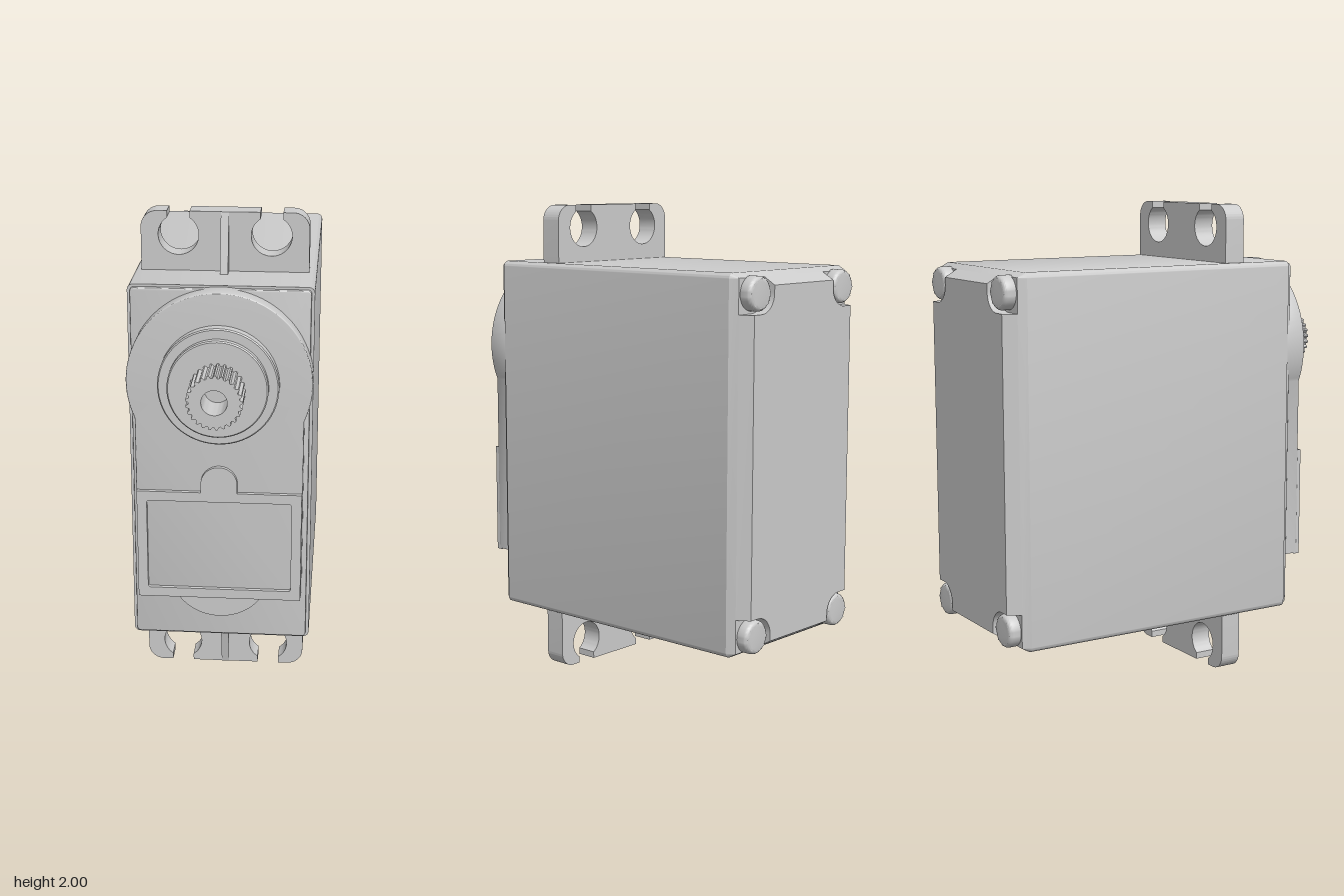
import * as THREE from 'three';
import { toCreasedNormals } from 'three/addons/utils/BufferGeometryUtils.js';

const CY = 1.005;      // middle height of the case
const SHAFT_Y = 1.39;  // height of the output shaft
const grey = new THREE.MeshStandardMaterial({ color: 0xcccccc });

function add(parent, name, geometry, crease = 0.6) {
  const mesh = new THREE.Mesh(toCreasedNormals(geometry, crease), grey);
  mesh.name = name;
  parent.add(mesh);
  return mesh;
}

function roundedRect(hx, y0, y1, r) {
  const s = new THREE.Shape();
  s.moveTo(hx, y0 + r);
  s.absarc(hx - r, y1 - r, r, 0, Math.PI / 2);
  s.absarc(-hx + r, y1 - r, r, Math.PI / 2, Math.PI);
  s.absarc(-hx + r, y0 + r, r, Math.PI, Math.PI * 1.5);
  s.absarc(hx - r, y0 + r, r, Math.PI * 1.5, Math.PI * 2);
  return s;
}

// Extrudes a shape from z0 to z1; an optional bevel stays inside that range
function slab(shape, z0, z1, bevel = 0, curveSegments = 24) {
  const g = new THREE.ExtrudeGeometry(shape, {
    depth: z1 - z0 - 2 * bevel, curveSegments, bevelEnabled: bevel > 0,
    bevelSize: bevel, bevelThickness: bevel, bevelOffset: -bevel, bevelSegments: 3,
  });
  return g.translate(0, 0, z0 + bevel);
}

// Pulls the rear rim of a slab in to the given half sizes, forming a chamfer
function taperBack(g, z0, hx, hy) {
  const p = g.attributes.position;
  for (let i = 0; i < p.count; i++) {
    if (p.getZ(i) > z0 + 1e-4) continue;
    p.setX(i, THREE.MathUtils.clamp(p.getX(i), -hx, hx));
    p.setY(i, THREE.MathUtils.clamp(p.getY(i), CY - hy, CY + hy));
  }
  return g;
}

// Rear cover outline with a screw pocket at each corner
function pocketOutline(hx, hy, cx, cy, r) {
  const quarter = [[hx, cy - r], [cx, cy - r]];
  for (let i = 1; i < 10; i++) {
    const a = -Math.PI / 2 - (i / 10) * Math.PI / 2;
    quarter.push([cx + r * Math.cos(a), cy + r * Math.sin(a)]);
  }
  quarter.push([cx - r, cy], [cx - r, hy]);
  const flip = (sx, sy) => quarter.map(([x, y]) => new THREE.Vector2(x * sx, CY + y * sy));
  return new THREE.Shape([
    ...flip(1, 1), ...flip(-1, 1).reverse(), ...flip(-1, -1), ...flip(1, -1).reverse(),
  ]);
}

function makeScrew() {
  const screw = new THREE.Group();
  // Round head with a cross recess
  const head = new THREE.Shape().absarc(0, 0, 0.068, 0, Math.PI * 2);
  const w = 0.01, l = 0.036, cross = [];
  for (let k = 0; k < 4; k++) {
    for (const [x, y] of [[l, -w], [l, w], [w, w]]) {
      cross.push(new THREE.Vector2(x, y).rotateAround(new THREE.Vector2(), k * Math.PI / 2 + 0.4));
    }
  }
  head.holes.push(new THREE.Path(cross.reverse()));
  const g = new THREE.ExtrudeGeometry(head, {
    depth: 0.035, curveSegments: 24, bevelSize: 0.018, bevelThickness: 0.018,
    bevelOffset: -0.018, bevelSegments: 4,
  });
  // Keep the recess straight-sided despite the bevel
  const p = g.attributes.position;
  for (let i = 0; i < p.count; i++) {
    const r = Math.hypot(p.getX(i), p.getY(i));
    if (r > 0.0455) p.setZ(i, Math.min(p.getZ(i), 0.053));
  }
  add(screw, 'screwHead', g);
  add(screw, 'screwRecessFloor', new THREE.CylinderGeometry(0.045, 0.045, 0.02, 24).rotateX(Math.PI / 2).translate(0, 0, 0.01));
  return screw;
}

// Mounting ear with two open screw slots, standing upward from y = 1.74
function earShape() {
  const s = new THREE.Shape();
  const cx = 0.185, cy = 1.905, r = 0.081, half = 0.045, top = 2, hx = 0.335;
  const a = Math.acos(half / r);
  s.moveTo(-hx, 1.74);
  s.lineTo(hx, 1.74);
  s.absarc(hx - 0.065, top - 0.065, 0.065, 0, Math.PI / 2);
  s.lineTo(cx + half, top);
  s.absarc(cx, cy, r, a, Math.PI - a, true);
  s.lineTo(cx - half, top);
  s.lineTo(-cx + half, top);
  s.absarc(-cx, cy, r, a, Math.PI - a, true);
  s.lineTo(-cx - half, top);
  s.absarc(-hx + 0.065, top - 0.065, 0.065, Math.PI / 2, Math.PI);
  return s;
}

function makeEar() {
  const ear = new THREE.Group();
  add(ear, 'earPlate', slab(earShape(), 0.205, 0.295));
  // Wedge rib: profile in (z, y), extruded across x
  const rib = new THREE.Shape([[0.28, 1.74], [0.355, 1.74], [0.297, 2], [0.28, 2]].map(([z, y]) => new THREE.Vector2(-z, y)));
  add(ear, 'earRib', slab(rib, -0.016, 0.016).rotateY(Math.PI / 2));
  return ear;
}

export function createModel() {
  const model = new THREE.Group();
  model.name = 'servoMotor';

  // Case with a chamfered rear cover
  add(model, 'caseBody', slab(roundedRect(0.365, 0.25, 1.76, 0.025), -0.735, 0.51, 0, 6));
  add(model, 'rearCoverStep', taperBack(slab(roundedRect(0.365, 0.25, 1.76, 0.025), -0.768, -0.735, 0, 6), -0.768, 0.346, 0.736));
  add(model, 'rearCover', taperBack(slab(pocketOutline(0.346, 0.736, 0.27, 0.675, 0.078), -0.82, -0.768), -0.82, 0.315, 0.705));
  add(model, 'frontLip', slab(roundedRect(0.352, 0.262, 1.75, 0.015), 0.5, 0.53, 0.004, 6));

  // Corner screws
  for (const sx of [-1, 1]) for (const sy of [-1, 1]) {
    const screw = makeScrew();
    screw.name = 'coverScrew';
    screw.rotation.y = Math.PI;
    screw.position.set(sx * 0.27, CY + sy * 0.675, -0.764);
    model.add(screw);
  }

  // Mounting ears, the lower one turned half round about the depth axis
  for (const lower of [false, true]) {
    const ear = makeEar();
    ear.name = lower ? 'lowerEar' : 'upperEar';
    if (lower) {
      ear.rotation.z = Math.PI;
      ear.position.y = 2;
    }
    model.add(ear);
  }

  // Raised front plate: straight sides running into a round gear housing
  const plate = new THREE.Shape();
  const R = 0.365, hw = 0.333, a = Math.acos(hw / R);
  plate.moveTo(-hw, 0.475);
  plate.lineTo(hw, 0.475);
  plate.absarc(0, SHAFT_Y, R, -a, Math.PI + a);
  add(model, 'gearHousingPlate', slab(plate, 0.505, 0.6, 0.004, 48));

  // Half-round bump below the label panel
  const bump = new THREE.Shape().absarc(0, 0.585, 0.205, Math.PI + 0.56, Math.PI * 2 - 0.56);
  add(model, 'lowerBump', slab(bump, 0.52, 0.6));

  // Label panel with a sunken field and a round tab on top
  const panel = new THREE.Shape();
  const tabR = 0.073, tabY = 0.972;
  panel.moveTo(-0.33, 0.47);
  panel.lineTo(0.33, 0.47);
  panel.lineTo(0.33, 0.935);
  panel.lineTo(tabR, 0.935);
  panel.absarc(0, tabY, tabR, 0, Math.PI);
  panel.lineTo(-tabR, 0.935);
  panel.lineTo(-0.33, 0.935);
  panel.holes.push(new THREE.Path(roundedRect(0.29, 0.51, 0.895, 0.01).getPoints(4).reverse()));
  add(model, 'labelPanel', slab(panel, 0.59, 0.617));

  // Stepped bearing boss
  const boss = [[0.237, 0.59], [0.237, 0.64], [0.232, 0.645], [0.197, 0.645], [0.197, 0.67], [0.192, 0.675], [0, 0.675]];
  add(model, 'bearingBoss', new THREE.LatheGeometry(boss.map(([r, z]) => new THREE.Vector2(r, z)), 64)
    .rotateX(Math.PI / 2).translate(0, SHAFT_Y, 0), 0.4);

  // Splined output shaft with a bore
  const teeth = 25, pts = [];
  for (let i = 0; i < teeth * 4; i++) {
    const t = (i / (teeth * 4)) * Math.PI * 2;
    const r = i % 4 < 2 ? 0.109 : 0.098;
    pts.push(new THREE.Vector2(r * Math.cos(t), r * Math.sin(t)));
  }
  const spline = new THREE.Shape(pts);
  spline.holes.push(new THREE.Path().absarc(0, 0, 0.05, 0, Math.PI * 2, true));
  const shaft = slab(spline, 0.66, 0.82);
  add(model, 'splinedShaft', shaft.translate(0, SHAFT_Y, 0), 0.3);

  return model;
}
